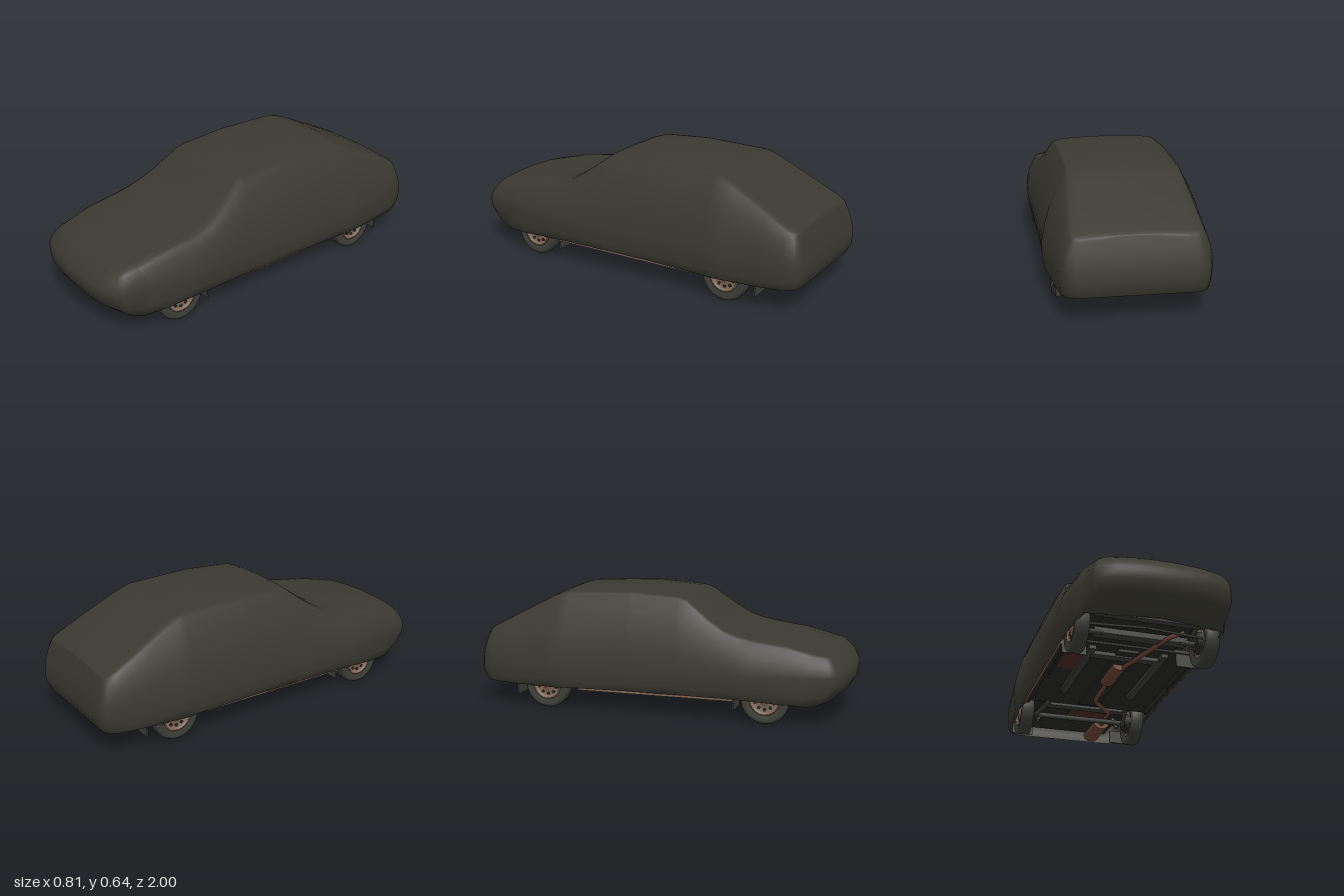
import * as THREE from 'three';
import { mergeVertices } from 'three/addons/utils/BufferGeometryUtils.js';

const mat = (name, color, side = THREE.FrontSide) => {
  const m = new THREE.MeshStandardMaterial({ color, side });
  m.name = name;
  return m;
};

// Fabric cover stations: z, top y, roof half width, belt half width, hem half width, hem y
const STATIONS = [
  [0.91, 0.362, 0.295, 0.325, 0.30, 0.115],
  [0.90, 0.367, 0.31, 0.345, 0.322, 0.107],
  [0.86, 0.377, 0.32, 0.362, 0.346, 0.099],
  [0.84, 0.382, 0.322, 0.368, 0.354, 0.105],
  [0.7, 0.41, 0.33, 0.384, 0.372, 0.11],
  [0.5, 0.435, 0.335, 0.397, 0.382, 0.12],
  [0.43, 0.449, 0.335, 0.396, 0.381, 0.121],
  [0.36, 0.473, 0.331, 0.395, 0.38, 0.122],
  [0.28, 0.52, 0.315, 0.394, 0.38, 0.122],
  [0.2, 0.578, 0.295, 0.393, 0.38, 0.123],
  [0.15, 0.615, 0.283, 0.392, 0.38, 0.123],
  [0.11, 0.629, 0.278, 0.391, 0.38, 0.124],
  [-0.15, 0.645, 0.282, 0.39, 0.38, 0.124],
  [-0.5, 0.635, 0.282, 0.393, 0.382, 0.12],
  [-0.54, 0.622, 0.285, 0.405, 0.39, 0.118],
  [-0.6, 0.597, 0.29, 0.395, 0.382, 0.118],
  [-0.8, 0.495, 0.31, 0.376, 0.365, 0.12],
  [-0.9, 0.442, 0.317, 0.364, 0.352, 0.123],
  [-0.933, 0.425, 0.308, 0.343, 0.33, 0.124],
  [-0.95, 0.415, 0.288, 0.317, 0.303, 0.125],
  [-0.955, 0.41, 0.265, 0.285, 0.27, 0.125],
];

// How far the nose and tail bulge beyond their station at a given height
function endBulge(z, y, top) {
  if (z > 0.85) {
    return THREE.MathUtils.smoothstep(z, 0.86, 0.91) * 0.09 * Math.max(0, 1 - ((y - 0.237) / 0.125) ** 2);
  }
  if (z < -0.85) {
    const t = Math.min(1, (top - y) / 0.23);
    return THREE.MathUtils.smoothstep(-z, 0.87, 0.94) * (0.5 * Math.max(0, 0.17 - y) - 0.046 * Math.sin(t * Math.PI / 2));
  }
  return 0;
}

// One cross-section from the left hem over the roof to the right hem
function section([z, top, wt, wm, wb, yb], scale = 1) {
  const h = top - yb, ym = Math.min(0.25, yb + 0.55 * h);
  const drop = Math.min(0.026, h * 0.15), ye = top - drop;
  const half = [[0, top], [0.5 * wt, top - 0.12 * drop], [0.85 * wt, top - 0.4 * drop],
    [0.95 * wt, top - 0.62 * drop], [wt, ye]];
  const bulge = 0.065 * (ye - ym);
  for (const t of [0.25, 0.5, 0.75]) {
    half.push([wt + (wm - wt) * t + bulge * Math.sin(Math.PI * t), ye + (ym - ye) * t]);
  }
  half.push([wm, ym]);
  for (const t of [0.33, 0.67, 1]) half.push([wm + (wb - wm) * t * t, ym + (yb - ym) * t]);
  // closed under the nose, a narrow turned hem elsewhere
  half.push(z > 0.85 ? [0, yb - 0.012] : [wb * 0.95, yb]);
  const bow = THREE.MathUtils.smoothstep(z, 0.6, 0.9);
  const place = (x, y) => {
    const u = x * scale;
    return [u, y, z - bow * (0.36 * u ** 2 + 20 * u ** 6) + endBulge(z, y, top)];
  };
  return [...half.slice(1).reverse().map(([x, y]) => place(-x, y)), ...half.map(([x, y]) => place(x, y))];
}

function coverGeometry() {
  const first = STATIONS[0], last = STATIONS[STATIONS.length - 1];
  const rows = [section(first, 0), section(first, 0.4), section(first, 0.75), ...STATIONS.map((s) => section(s)),
    section(last, 0.6), section(last, 0)];
  const n = rows[0].length, index = [];
  for (let r = 0; r < rows.length - 1; r++) {
    for (let i = 0; i < n - 1; i++) {
      const a = r * n + i, b = a + 1, c = a + n, d = c + 1;
      index.push(a, b, c, b, d, c);
    }
  }
  const g = new THREE.BufferGeometry();
  g.setAttribute('position', new THREE.Float32BufferAttribute(rows.flat(2), 3));
  g.setIndex(index);
  const merged = mergeVertices(g);
  merged.computeVertexNormals();
  return merged;
}

export function createModel() {
  const model = new THREE.Group();
  model.name = 'coveredCar';
  const fabric = mat('cover fabric', 0x3a3931, THREE.DoubleSide);
  const rubber = mat('tyre rubber', 0x3d3d38);
  const steel = mat('wheel steel', 0x806858);
  const rust = mat('rusty metal', 0x6e4433);
  const oxide = mat('dark oxide', 0x4c2a24);
  const under = mat('underbody', 0x272824);

  const add = (name, geometry, material, x = 0, y = 0, z = 0, parent = model) => {
    const m = new THREE.Mesh(geometry, material);
    m.name = name;
    m.position.set(x, y, z);
    parent.add(m);
    return m;
  };
  const box = (name, w, h, d, material, x, y, z) =>
    add(name, new THREE.BoxGeometry(w, h, d), material, x, y, z);
  const pipe = (name, points, r, material) => {
    const path = new THREE.CatmullRomCurve3(points.map((p) => new THREE.Vector3(...p)), false, 'catmullrom', 0.1);
    return add(name, new THREE.TubeGeometry(path, 40, r, 8), material);
  };

  add('fabricCover', coverGeometry(), fabric);

  // Floor between and around the wheels
  box('floorPan', 0.7, 0.02, 0.84, under, 0, 0.15, -0.01);
  box('engineTray', 0.46, 0.02, 0.42, under, 0, 0.16, 0.61);
  box('rearFloor', 0.5, 0.02, 0.5, under, 0, 0.175, -0.67);
  box('wheelHousing', 0.64, 0.01, 1.66, under, 0, 0.225, -0.07);
  box('transmissionTunnel', 0.11, 0.02, 0.75, under, 0, 0.135, 0);
  box('frontCrossMember', 0.48, 0.03, 0.06, rubber, 0, 0.13, 0.55);
  box('gearboxCrossMember', 0.36, 0.02, 0.05, rubber, 0, 0.128, 0.3);
  box('rearCrossMember', 0.46, 0.03, 0.05, rubber, 0, 0.14, -0.45);
  box('radiatorSupport', 0.5, 0.03, 0.04, rubber, 0, 0.13, 0.76);
  pipe('frontValance', [[-0.3, 0.106, 0.78], [-0.16, 0.099, 0.825], [0, 0.097, 0.842],
    [0.16, 0.099, 0.825], [0.3, 0.106, 0.78]], 0.006, steel);
  box('floorOxide', 0.13, 0.004, 0.2, oxide, -0.26, 0.139, 0.17);
  box('rearOxide', 0.24, 0.004, 0.16, oxide, 0.06, 0.164, -0.62);

  // Wheels: tyre, pressed rim and hub, local +y faces outward
  const tyreShape = [[0.076, -0.03], [0.105, -0.037], [0.118, -0.034], [0.124, -0.024], [0.125, 0],
    [0.124, 0.024], [0.118, 0.034], [0.105, 0.037], [0.076, 0.03]].map((p) => new THREE.Vector2(...p));
  const tyre = new THREE.LatheGeometry(tyreShape, 36);
  const rimShape = [[0, -0.026], [0.077, -0.026], [0.079, 0.032], [0.07, 0.033], [0.064, 0.018],
    [0.04, 0.024], [0.026, 0.024], [0.022, 0.033], [0, 0.034]].map((p) => new THREE.Vector2(...p));
  const rim = new THREE.LatheGeometry(rimShape, 30);
  const slot = new THREE.CylinderGeometry(0.009, 0.009, 0.008, 10);
  const drum = new THREE.CylinderGeometry(0.062, 0.045, 0.03, 24);
  for (const side of [1, -1]) {
    for (const z of [0.58, -0.6]) {
      const wheel = new THREE.Group();
      wheel.name = (z > 0 ? 'front' : 'rear') + (side > 0 ? 'Left' : 'Right') + 'Wheel';
      wheel.position.set(side * 0.327, 0.125, z);
      wheel.rotation.z = -side * Math.PI / 2;
      model.add(wheel);
      add('tyre', tyre, rubber, 0, 0, 0, wheel);
      add('rim', rim, steel, 0, 0, 0, wheel);
      add('brakeDrum', drum, under, 0, -0.038, 0, wheel);
      for (let i = 0; i < 10; i++) {
        const a = i * Math.PI / 5;
        add('rimHole', slot, under, 0.051 * Math.cos(a), 0.021, 0.051 * Math.sin(a), wheel);
      }
    }
    // Mud flaps, sills, floor rails and suspension arms
    box('frontMudFlap', 0.125, 0.07, 0.008, rubber, side * 0.298, 0.095, 0.42);
    box('rearMudFlap', 0.12, 0.075, 0.008, rubber, side * 0.30, 0.097, -0.77);
    box('sill', 0.02, 0.03, 0.8, under, side * 0.35, 0.127, 0);
    box('sillTrim', 0.006, 0.038, 0.84, steel, side * 0.363, 0.127, 0);
    box('jackingRail', 0.012, 0.022, 0.38, under, side * 0.33, 0.115, 0.22);
    box('floorRail', 0.035, 0.022, 0.6, rubber, side * 0.19, 0.131, 0.08);
    pipe('frontArm', [[side * 0.3, 0.115, 0.58], [side * 0.12, 0.13, 0.56]], 0.013, rubber);
    pipe('steeringRod', [[side * 0.3, 0.125, 0.64], [0, 0.13, 0.66]], 0.007, rubber);
    pipe('trailingArm', [[side * 0.27, 0.11, -0.6], [side * 0.22, 0.135, -0.38]], 0.013, rubber);
    pipe('damper', [[side * 0.24, 0.1, -0.62], [side * 0.21, 0.2, -0.66]], 0.012, rubber);
  }
  pipe('rearAxle', [[-0.3, 0.125, -0.6], [0.3, 0.125, -0.6]], 0.016, rubber);

  // Exhaust line with two silencers
  pipe('exhaustPipe', [[0.2, 0.14, 0.64], [0.13, 0.115, 0.62], [0.02, 0.115, 0.2], [0, 0.115, 0.1],
    [0.01, 0.115, -0.28], [0.14, 0.12, -0.45], [0.17, 0.155, -0.6], [0.17, 0.14, -0.74]], 0.012, rust);
  const silencer = (name, r, length, x, y, z) => {
    const m = add(name, new THREE.CylinderGeometry(r, r, length, 20), rust, x, y, z);
    m.rotation.x = Math.PI / 2;
    m.scale.x = 1.4;
  };
  silencer('middleSilencer', 0.026, 0.23, 0, 0.122, 0.1);
  silencer('rearSilencer', 0.033, 0.24, 0.17, 0.15, -0.82);

  return model;
}
